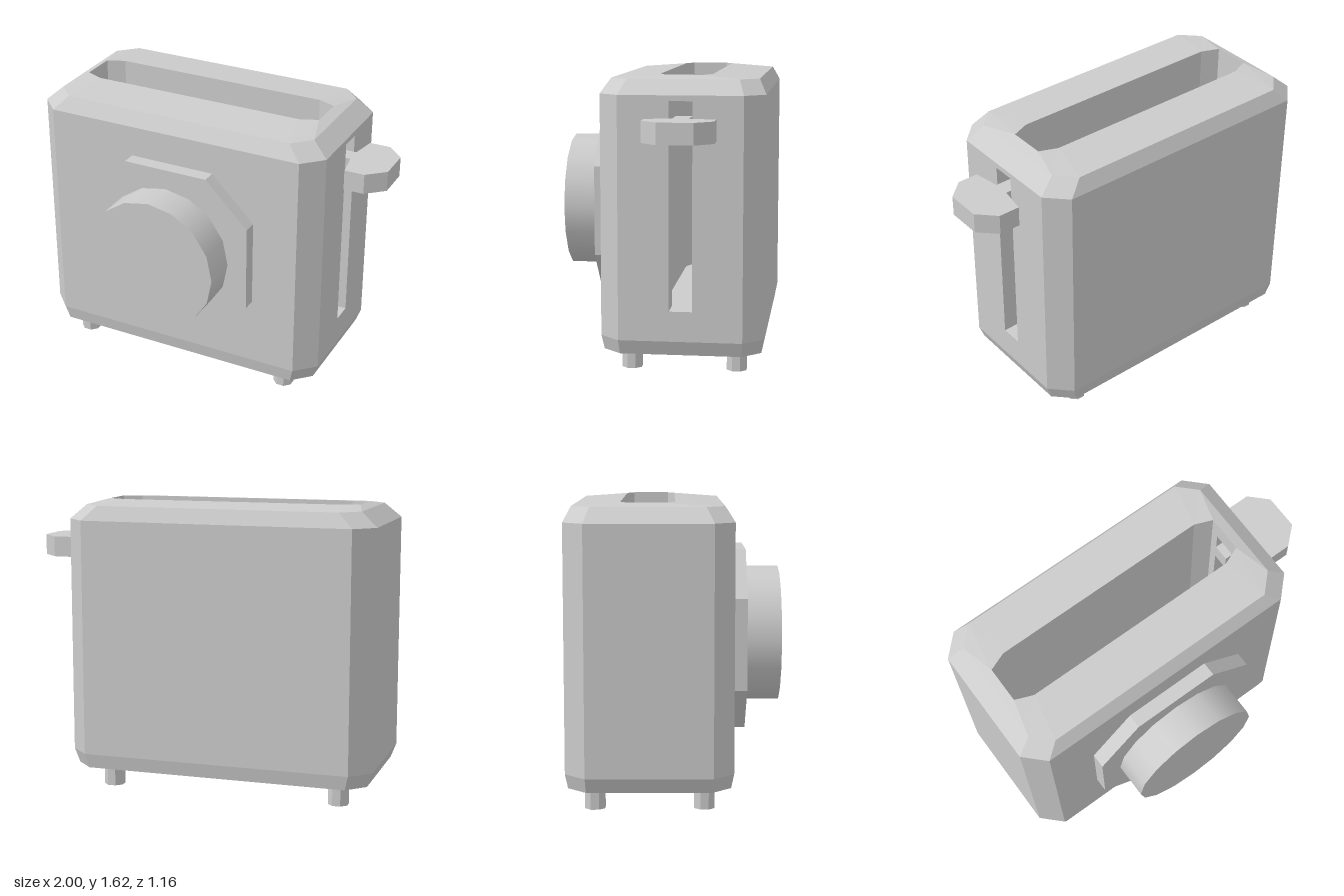
import * as THREE from 'three';

const grey = new THREE.MeshStandardMaterial({ color: 0xcccccc, flatShading: true });
const smooth = new THREE.MeshStandardMaterial({ color: 0xcccccc });
const thin = new THREE.MeshStandardMaterial({ color: 0xcccccc, flatShading: true, side: THREE.DoubleSide });

// Body and lever track dimensions
const X0 = -1, X1 = 0.74, Z0 = -0.58, Z1 = 0.31;
const FLOOR = 0.32, RIM = 1.62, CAVITY_X1 = 0.59;
const TRACK = { u0: 0.075, u1: 0.2, y0: 0.365, y1: 1.49 }; // u = -z

// Rectangle with cut corners at height y, starting on the +x end
function octagon(y, x0, x1, z0, z1, cx, cz = cx) {
  return [
    [x1, y, z1 - cz], [x1, y, z0 + cz], [x1 - cx, y, z0], [x0 + cx, y, z0],
    [x0, y, z0 + cz], [x0, y, z1 - cz], [x0 + cx, y, z1], [x1 - cx, y, z1],
  ];
}

// Joins successive loops with quads; skip(strip, side) leaves an opening
function loft(loops, { caps = false, skip = () => false } = {}) {
  const pos = [];
  const tri = (a, b, c) => pos.push(...a, ...b, ...c);
  const n = loops[0].length;
  for (let s = 0; s < loops.length - 1; s++) {
    const lo = loops[s], hi = loops[s + 1];
    for (let i = 0; i < n; i++) {
      if (skip(s, i)) continue;
      const j = (i + 1) % n;
      tri(lo[i], lo[j], hi[j]);
      tri(lo[i], hi[j], hi[i]);
    }
  }
  if (caps) {
    const first = loops[0], last = loops[loops.length - 1];
    for (let i = 1; i < n - 1; i++) {
      tri(first[0], first[i + 1], first[i]);
      tri(last[0], last[i], last[i + 1]);
    }
  }
  const g = new THREE.BufferGeometry();
  g.setAttribute('position', new THREE.Float32BufferAttribute(pos, 3));
  g.computeVertexNormals();
  return g;
}

function polygon(points) {
  return points.map(([x, y]) => new THREE.Vector2(x, y));
}

const rect = (u0, u1, y0, y1) => polygon([[u0, y0], [u1, y0], [u1, y1], [u0, y1]]);

// Upright panel across the +x end, pierced by the lever track
function trackPanel(x, u0, u1, y0, y1) {
  const shape = new THREE.Shape(rect(u0, u1, y0, y1));
  shape.holes.push(new THREE.Path(rect(TRACK.u0, TRACK.u1, TRACK.y0, TRACK.y1)));
  return new THREE.ShapeGeometry(shape).rotateY(Math.PI / 2).translate(x, 0, 0);
}

function extrude(points, depth) {
  return new THREE.ExtrudeGeometry(new THREE.Shape(polygon(points)), { depth, bevelEnabled: false });
}

export function createModel() {
  const group = new THREE.Group();
  const add = (name, geometry, material = grey, parent = group) => {
    const mesh = new THREE.Mesh(geometry, material);
    mesh.name = name;
    parent.add(mesh);
    return mesh;
  };

  // Shell: up the outside, over the rim and down into the bread slot
  const body = new THREE.Group();
  body.name = 'body';
  group.add(body);
  const loops = [
    octagon(0.12, X0 + 0.03, X1 - 0.03, Z0 + 0.015, Z1 - 0.015, 0.1),
    octagon(0.2, X0, X1, Z0, Z1, 0.11),
    octagon(1.52, X0, X1, Z0, Z1, 0.11),
    octagon(1.6, -0.91, 0.65, -0.54, 0.26, 0.1),
    octagon(RIM, -0.86, CAVITY_X1, -0.285, 0, 0.1, 0.04),
    octagon(FLOOR, -0.86, CAVITY_X1, -0.285, 0, 0.1, 0.04),
  ];
  add('shell', loft(loops, { caps: true, skip: (s, i) => i === 0 && (s === 1 || s === 4) }), grey, body);

  // Lever track through the end wall
  add('outerTrackPanel', trackPanel(X1, -(Z1 - 0.11), -(Z0 + 0.11), 0.2, 1.52), thin, body);
  add('innerTrackPanel', trackPanel(CAVITY_X1, 0.04, 0.245, FLOOR, RIM), thin, body);
  const trackLoop = (x) => rect(TRACK.u0, TRACK.u1, TRACK.y0, TRACK.y1).map((p) => [x, p.y, -p.x]);
  add('trackWalls', loft([trackLoop(X1), trackLoop(CAVITY_X1)]), thin, body);

  // Lever: stem and knob in one outline, seen from above as (x, -z)
  const lever = extrude([
    [0.575, 0.095], [0.76, 0.095], [0.785, -0.05], [0.9, -0.05], [1, 0.04],
    [1, 0.235], [0.905, 0.33], [0.785, 0.33], [0.76, 0.185], [0.575, 0.185],
  ], 0.115).rotateX(-Math.PI / 2).translate(0, 1.285, 0);
  add('lever', lever);

  // Dial on the front
  const dialX = -0.13, dialY = 0.845, r = 0.5, c = 0.25;
  add('dialPlate', extrude([
    [r, -c], [r, c], [c, r], [-c, r], [-r, c], [-r, -c], [-c, -r], [c, -r],
  ], 0.09).translate(dialX, dialY, 0.3));
  add('dialKnob', new THREE.CylinderGeometry(0.385, 0.385, 0.2, 16).rotateX(Math.PI / 2), smooth)
    .position.set(dialX, dialY, 0.485);

  // Four octagonal feet
  const footRadius = 0.054 / Math.cos(Math.PI / 8);
  const foot = new THREE.CylinderGeometry(footRadius, footRadius, 0.13, 8).rotateY(Math.PI / 8);
  for (const x of [-0.805, 0.51]) {
    for (const z of [0.155, -0.425]) add('foot', foot, grey).position.set(x, 0.065, z);
  }

  return group;
}
